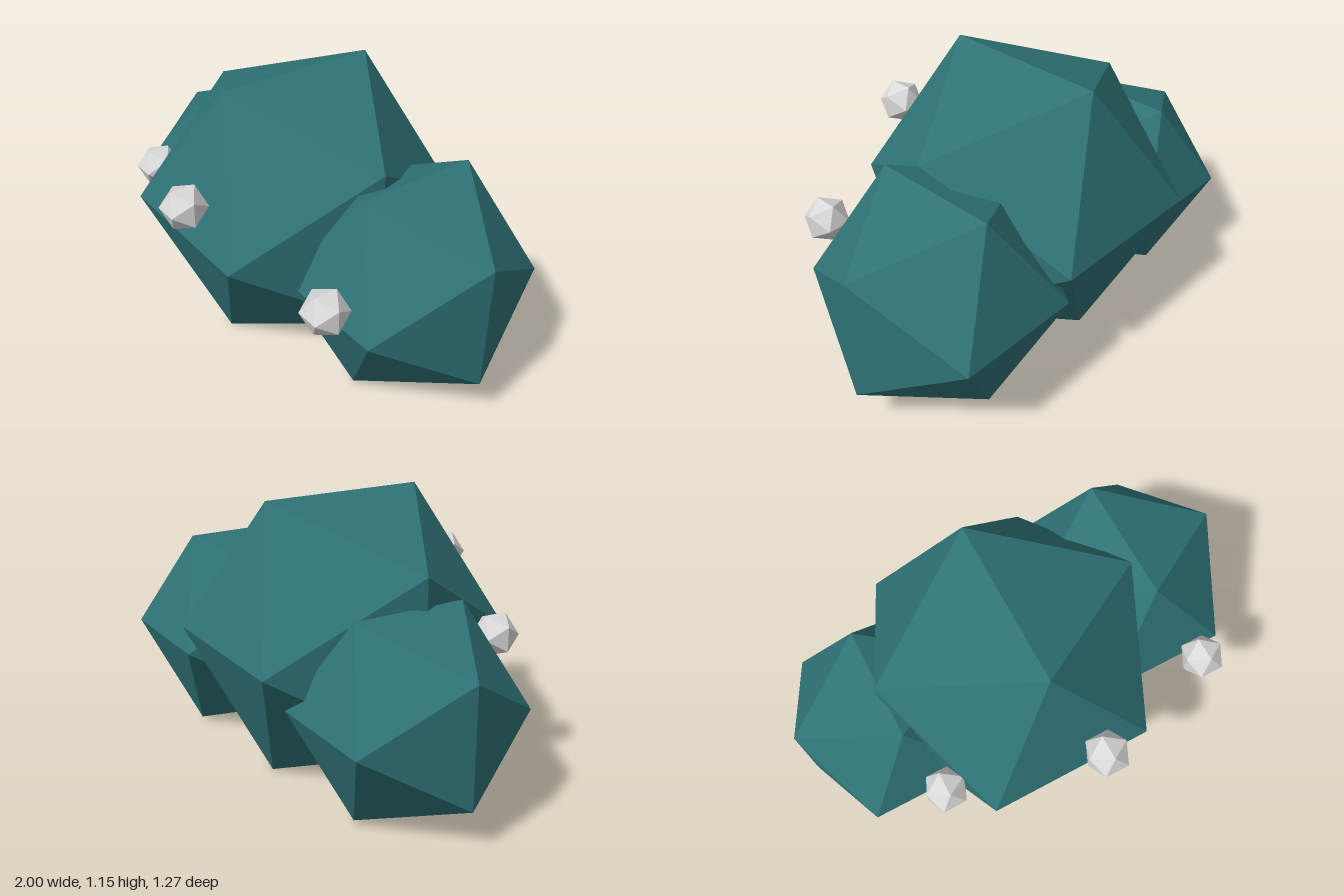
import * as THREE from 'three';

export function createModel() {
  const group = new THREE.Group();
  const foliage = new THREE.MeshStandardMaterial({ color: 0x2f7377, flatShading: true });
  foliage.name = 'teal foliage';
  const berry = new THREE.MeshStandardMaterial({ color: 0xdadada, flatShading: true });
  berry.name = 'pale berry';

  // Icosahedron turned so its top edge runs front to back
  const addBall = (name, material, radius, x, y, z) => {
    const geometry = new THREE.IcosahedronGeometry(radius, 0).rotateY(Math.PI / 2);
    const mesh = new THREE.Mesh(geometry, material);
    mesh.name = name;
    mesh.position.set(x, y, z);
    group.add(mesh);
  };

  // Three overlapping clumps of leaves
  addBall('middleClump', foliage, 0.674, -0.052, 0.577, -0.063);
  addBall('rightClump', foliage, 0.464, -0.605, 0.417, -0.127);
  addBall('leftClump', foliage, 0.514, 0.562, 0.453, -0.187);

  // One berry in front of each clump
  addBall('middleBerry', berry, 0.097, 0.068, 0.786, 0.552);
  addBall('rightBerry', berry, 0.097, -0.545, 0.611, 0.34);
  addBall('leftBerry', berry, 0.097, 0.682, 0.575, 0.333);

  return group;
}
